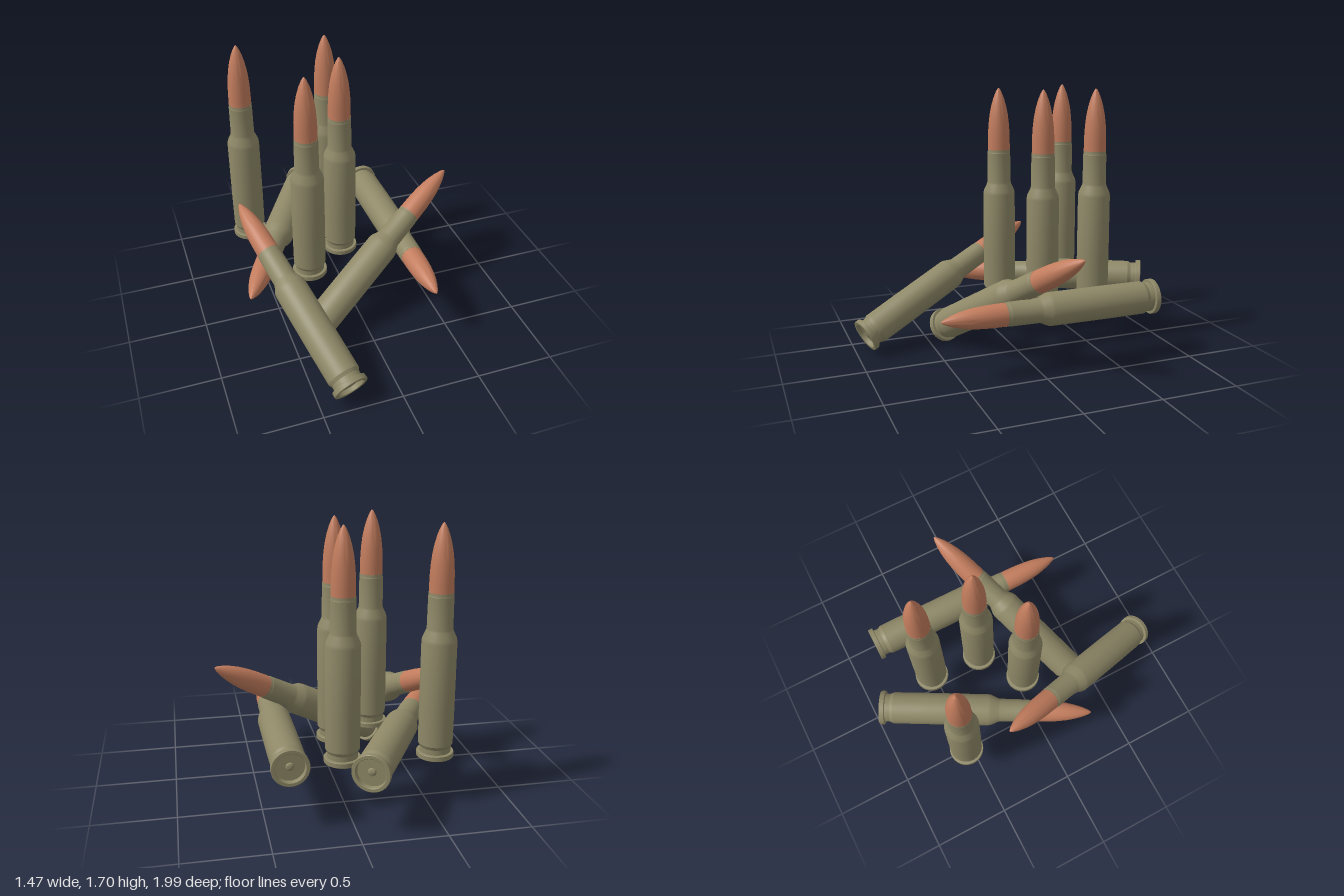
import * as THREE from 'three';
import { toCreasedNormals } from 'three/addons/utils/BufferGeometryUtils.js';

const SIDES = 40;

// Surface of revolution from [radius, height] pairs, listed from the base up
function turned(profile) {
  const points = profile.map(([r, h]) => new THREE.Vector2(r, h));
  return toCreasedNormals(new THREE.LatheGeometry(points, SIDES), 0.45);
}

export function createModel() {
  const brass = new THREE.MeshStandardMaterial({ color: 0x8e8867 });
  brass.name = 'dull brass';
  const copper = new THREE.MeshStandardMaterial({ color: 0xc27c5d });
  copper.name = 'copper';

  // Case: recessed base, rim, extractor groove, body, shoulder, neck and lip
  const caseGeometry = turned([
    [0, 0.03], [0.086, 0.03], [0.088, 0.003], [0.091, 0], [0.109, 0], [0.112, 0.003],
    [0.112, 0.03], [0.11, 0.033], [0.093, 0.034], [0.093, 0.066], [0.104, 0.088],
    [0.105, 0.3], [0.104, 0.72], [0.1, 0.742], [0.08, 0.785], [0.0765, 0.8],
    [0.0745, 0.99], [0.073, 0.993], [0.0725, 1.012], [0.068, 1.012],
  ]);
  // Domed primer in the middle of the recess
  const primerGeometry = turned([
    [0, 0.012], [0.012, 0.014], [0.021, 0.019], [0.025, 0.031],
  ]);
  // Pointed bullet with a curved ogive
  const bulletGeometry = turned([
    [0.072, 1.005], [0.0715, 1.06], [0.07, 1.12], [0.066, 1.18], [0.059, 1.24],
    [0.048, 1.295], [0.034, 1.345], [0.018, 1.385], [0.007, 1.404], [0, 1.41],
  ]);

  const parts = [
    ['case', caseGeometry, brass],
    ['primer', primerGeometry, brass],
    ['bullet', bulletGeometry, copper],
  ];
  const up = new THREE.Vector3(0, 1, 0);
  const model = new THREE.Group();
  model.name = 'cartridges';

  // One cartridge with its base centre at one point and its tip towards another
  function addCartridge(name, base, tip) {
    const cartridge = new THREE.Group();
    cartridge.name = name;
    for (const [partName, geometry, material] of parts) {
      const mesh = new THREE.Mesh(geometry, material);
      mesh.name = partName;
      cartridge.add(mesh);
    }
    const start = new THREE.Vector3(...base);
    const direction = new THREE.Vector3(...tip).sub(start).normalize();
    cartridge.position.copy(start);
    cartridge.quaternion.setFromUnitVectors(up, direction);
    model.add(cartridge);
  }

  // Four standing upright
  const standing = [[-0.55, -0.55], [0.017, -0.53], [-0.003, -0.175], [-0.28, 0.022]];
  standing.forEach(([x, z], i) =>
    addCartridge(`standingCartridge${i + 1}`, [x, 0.293, z], [x, 1.703, z]));

  // Two lying flat, two leaning on them
  addCartridge('lyingCartridge1', [0.365, 0.397, -0.79], [0.365, 0.397, 0.62]);
  addCartridge('lyingCartridge2', [-0.055, 0.397, -0.938], [-0.735, 0.397, 0.285]);
  addCartridge('leaningCartridge1', [-0.31, 0.122, 0.945], [-0.66, 0.715, -0.285]);
  addCartridge('leaningCartridge2', [-0.385, 0.1, 0.395], [0.73, 0.79, -0.125]);

  return model;
}
